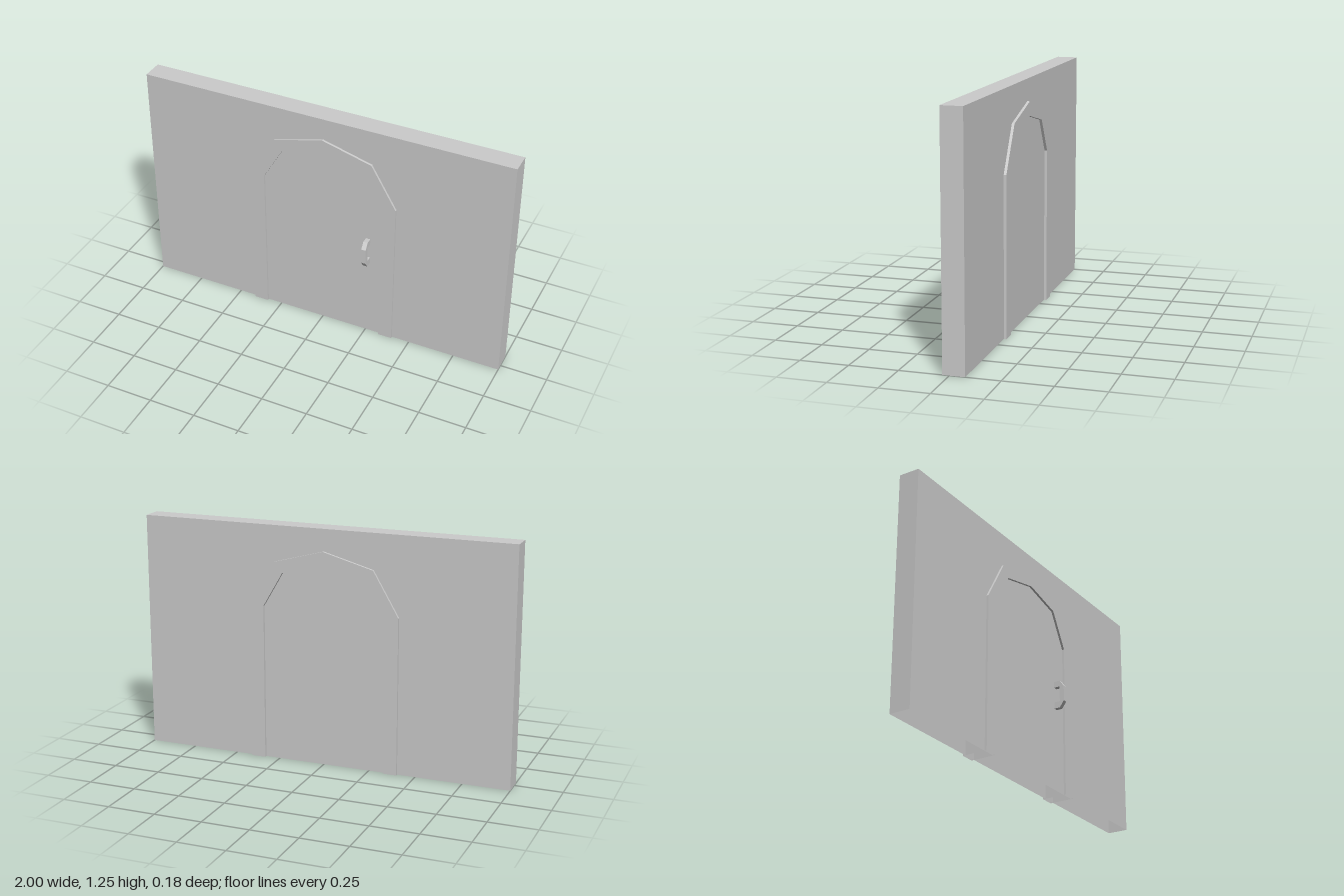
import * as THREE from 'three';

const material = new THREE.MeshStandardMaterial({ color: 0xcccccc, flatShading: true, side: THREE.DoubleSide });

const polygon = (points) => new THREE.Shape(points.map(([x, y]) => new THREE.Vector2(x, y)));

// Drop the faces that lie on the ground, leaving a hollow shell.
function openBottom(geometry) {
  const source = geometry.index ? geometry.toNonIndexed() : geometry;
  const position = source.getAttribute('position');
  const kept = [];
  for (let i = 0; i < position.count; i += 3) {
    const onGround = [0, 1, 2].every((k) => Math.abs(position.getY(i + k)) < 1e-5);
    if (!onGround) kept.push(i, i + 1, i + 2);
  }
  source.setIndex(kept);
  return source;
}

function addPart(group, name, geometry) {
  const mesh = new THREE.Mesh(geometry, material);
  mesh.name = name;
  group.add(mesh);
}

export function createModel() {
  const group = new THREE.Group();
  group.name = 'wallWithArchedDoor';

  // Wall slab, with the flush door panel as part of its faces
  const wallFront = 0.034, wallBack = -0.077;
  const wall = new THREE.BoxGeometry(2, 1.25, wallFront - wallBack);
  wall.translate(0, 0.625, (wallFront + wallBack) / 2);
  addPart(group, 'wall', openBottom(wall));

  // Faceted arch frame, standing slightly proud on both sides
  const frameFront = 0.046, frameBack = -0.091;
  const outer = [[0.404, 0], [0.404, 0.83], [0.268, 1.062], [0, 1.135]];
  const inner = [[0.329, 0], [0.329, 0.825], [0.222, 1.008], [0, 1.06]];
  const mirrored = (half) => half.slice(0, -1).map(([x, y]) => [-x, y]).reverse();
  const leftToRight = [...inner, ...mirrored(inner)];
  const outline = [...outer, ...mirrored(outer), ...leftToRight.reverse()];
  const frame = new THREE.ExtrudeGeometry(polygon(outline), { depth: frameFront - frameBack, bevelEnabled: false });
  frame.translate(0, 0, frameBack);
  addPart(group, 'doorFrame', openBottom(frame));

  // Pull handle: side profile (z, y) extruded across x
  const profile = [
    [wallFront, 0.451], [0.067, 0.451], [0.092, 0.486], [0.092, 0.57], [0.067, 0.603], [wallFront, 0.603],
    [wallFront, 0.57], [0.067, 0.57], [0.067, 0.486], [wallFront, 0.486],
  ];
  const handle = new THREE.ExtrudeGeometry(polygon(profile), { depth: 0.024, bevelEnabled: false });
  handle.rotateY(-Math.PI / 2).translate(0.267, 0, 0);
  addPart(group, 'doorHandle', handle);

  return group;
}
